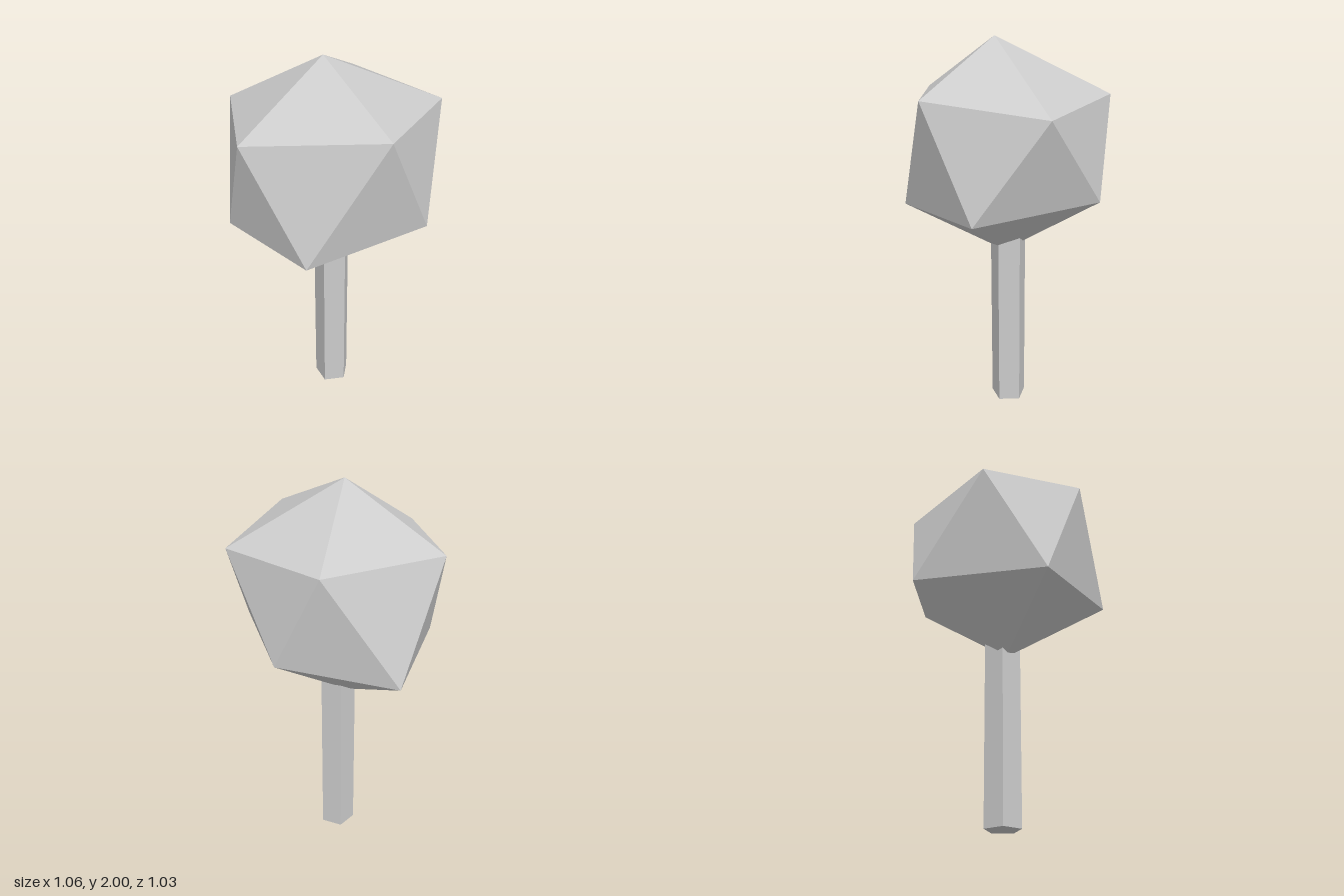
import * as THREE from 'three';

export function createModel() {
  const group = new THREE.Group();
  group.name = 'lowPolyTree';
  const material = new THREE.MeshStandardMaterial({ color: 0xcccccc, flatShading: true });

  // Trunk: five-sided post whose top is buried in the crown
  const height = 1.1;
  const trunk = new THREE.Mesh(
    new THREE.CylinderGeometry(0.095, 0.095, height, 5, 1, false, THREE.MathUtils.degToRad(35)),
    material
  );
  trunk.name = 'trunk';
  trunk.position.set(-0.005, height / 2, 0.015);
  group.add(trunk);

  // Crown: uneven icosahedron made of two poles and two staggered rings
  const top = [-0.055, 2.0, 0.065];
  const bottom = [-0.06, 0.865, 0.015];
  const upper = [
    [0.165, 1.77, 0.515], [0.53, 1.72, 0.025], [0.19, 1.725, -0.445],
    [-0.465, 1.69, -0.25], [-0.475, 1.69, 0.275],
  ];
  const lower = [
    [0.395, 1.215, 0.355], [0.38, 1.245, -0.31], [-0.175, 1.155, -0.515],
    [-0.53, 1.15, 0.06], [-0.215, 1.145, 0.505],
  ];
  const corners = [];
  for (let i = 0; i < 5; i++) {
    const j = (i + 1) % 5;
    corners.push(
      top, upper[i], upper[j],
      upper[i], lower[i], upper[j],
      lower[i], lower[j], upper[j],
      bottom, lower[j], lower[i]
    );
  }
  const crownGeometry = new THREE.BufferGeometry();
  crownGeometry.setAttribute('position', new THREE.Float32BufferAttribute(corners.flat(), 3));
  crownGeometry.computeVertexNormals();
  const crown = new THREE.Mesh(crownGeometry, material);
  crown.name = 'crown';
  group.add(crown);

  return group;
}
